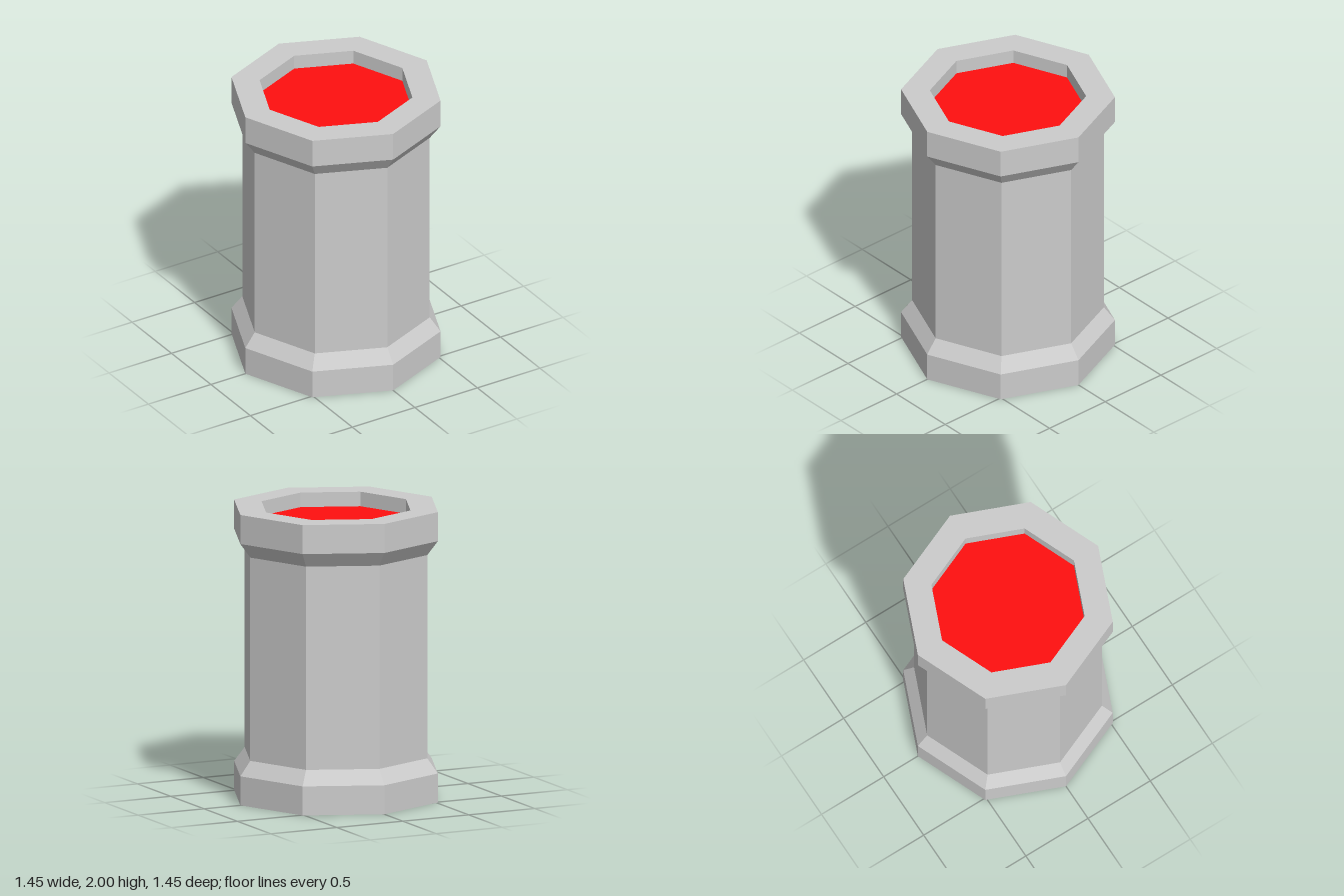
import * as THREE from 'three';

const SIDES = 8;
const OUTER = 0.725, SHAFT = 0.65, INNER = 0.53;
const HEIGHT = 2, FLOOR = 1.9;

export function createModel() {
  const model = new THREE.Group();
  model.name = 'pipe';

  // Octagonal shell: base, flared collar, shaft, flared collar, rim and recess wall
  const profile = [
    [0, 0], [OUTER, 0], [OUTER, 0.2], [SHAFT, 0.3],
    [SHAFT, 1.7], [OUTER, 1.8], [OUTER, HEIGHT],
    [INNER, HEIGHT], [INNER, FLOOR],
  ].map(([r, y]) => new THREE.Vector2(r, y));
  const shell = new THREE.Mesh(
    new THREE.LatheGeometry(profile, SIDES),
    new THREE.MeshStandardMaterial({ color: 0xcccccc, flatShading: true })
  );
  shell.name = 'pipeShell';

  // Red floor of the recess in the top
  const floor = new THREE.Mesh(
    new THREE.CircleGeometry(INNER, SIDES).rotateX(-Math.PI / 2),
    new THREE.MeshStandardMaterial({ color: 0xff0f0f, flatShading: true })
  );
  floor.position.y = FLOOR;
  floor.name = 'recessFloor';

  model.add(shell, floor);
  return model;
}
